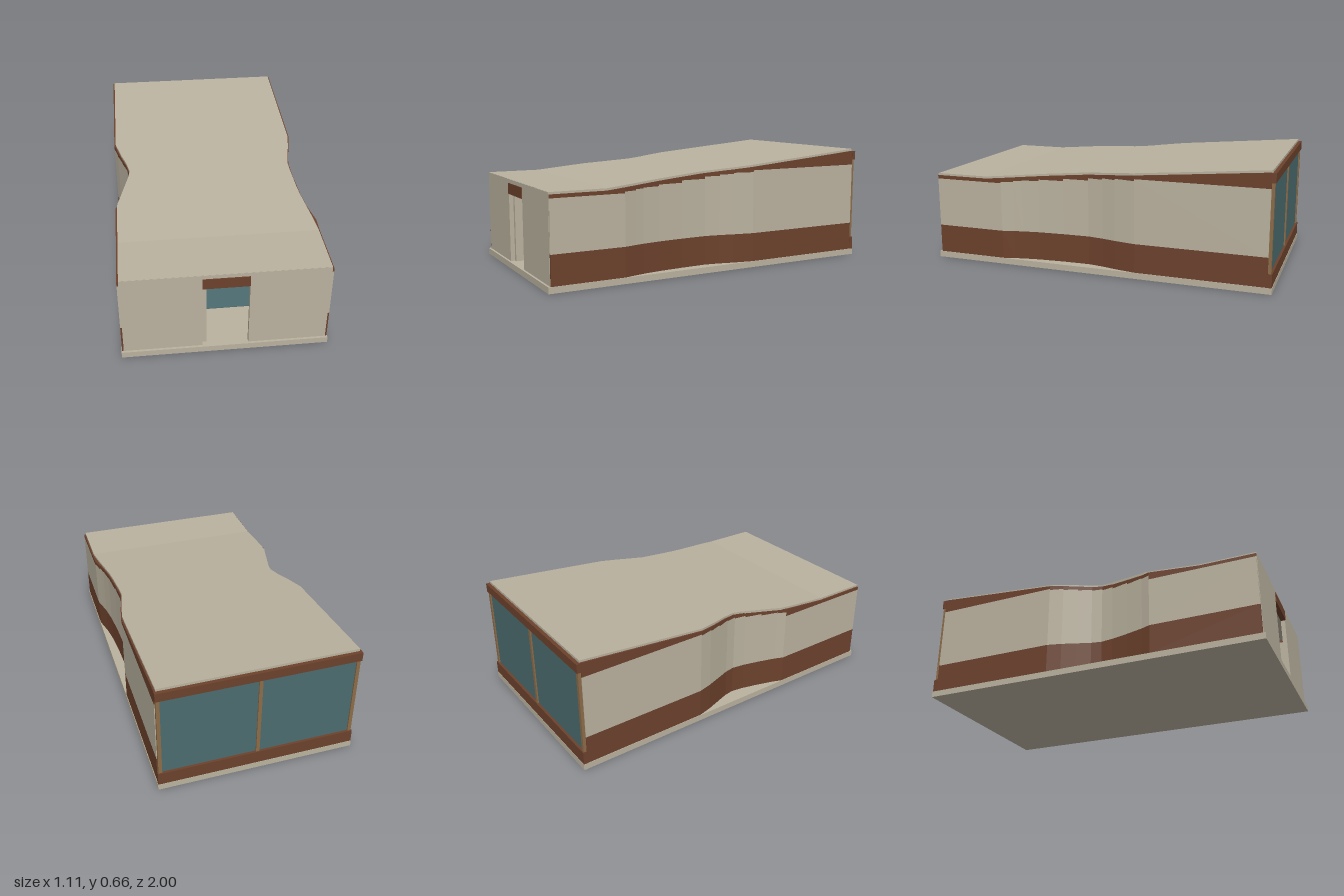
import * as THREE from 'three';

const mat = (name, color, extra = {}) => {
  const m = new THREE.MeshStandardMaterial({ color, ...extra });
  m.name = name;
  return m;
};

// Flat-faced solid lofted through a list of four-cornered sections
function loft(sections) {
  const tris = [];
  const quad = (a, b, c, d) => tris.push([a, b, c], [a, c, d]);
  for (let i = 0; i < sections.length - 1; i++) {
    const p = sections[i], q = sections[i + 1];
    for (let k = 0; k < 4; k++) {
      const n = (k + 1) % 4;
      quad(p[k], p[n], q[n], q[k]);
    }
  }
  const first = sections[0], last = sections[sections.length - 1];
  quad(first[3], first[2], first[1], first[0]);
  quad(last[0], last[1], last[2], last[3]);
  // Turn the faces outwards whichever way the section runs
  const v = tris.map(t => t.map(p => new THREE.Vector3(...p)));
  const volume = v.reduce((s, [a, b, c]) => s + a.dot(b.clone().cross(c)), 0);
  const out = volume < 0 ? tris.map(([a, b, c]) => [a, c, b]) : tris;
  const geo = new THREE.BufferGeometry();
  geo.setAttribute('position', new THREE.Float32BufferAttribute(out.flat(2), 3));
  geo.computeVertexNormals();
  return geo;
}

// Roof height: level at the front, then a straight rise to the back
const roofY = z => 0.515 + 0.145 * Math.max(0, 0.67 - z) / 1.645;

export function createModel() {
  const model = new THREE.Group();
  model.name = 'house';
  const plaster = mat('beige plaster', 0xbab29f);
  const wood = mat('brown cladding', 0x6c412c);
  const glass = mat('teal glass', 0x4c6c6f);
  const frame = mat('tan frame', 0x8c6c48);

  const add = (name, geo, material, parent = model) => {
    const m = new THREE.Mesh(geo, material);
    m.name = name;
    parent.add(m);
    return m;
  };
  // Box given by its limits on each axis
  const box = (name, material, x0, x1, y0, y1, z0, z1, parent) => {
    const m = add(name, new THREE.BoxGeometry(x1 - x0, y1 - y0, z1 - z0), material, parent);
    m.position.set((x0 + x1) / 2, (y0 + y1) / 2, (z0 + z1) / 2);
    return m;
  };

  box('baseSlab', plaster, -0.555, 0.555, 0, 0.035, -1, 1);

  // Side walls: plan points [z, distance from centre], front to back
  const sides = [
    { name: 'left', s: 1, plan: [[0.985, 0.552], [0.57, 0.552], [0.5, 0.535], [0.45, 0.524], [0.35, 0.51], [0.2, 0.5],
      [0.05, 0.496], [-0.04, 0.51], [-0.12, 0.53], [-0.24, 0.552], [-0.975, 0.552]] },
    { name: 'right', s: -1, plan: [[0.985, 0.552], [0.38, 0.552], [0.33, 0.532], [0.23, 0.503], [0.13, 0.478], [0.06, 0.468],
      [0, 0.478], [-0.08, 0.505], [-0.16, 0.532], [-0.24, 0.552], [-0.975, 0.552]] },
  ];
  for (const { name, s, plan } of sides) {
    const wall = new THREE.Group();
    wall.name = name + 'Wall';
    model.add(wall);
    const section = ([z, x], y0, y1) =>
      [[s * x, y0, z], [s * (x - 0.025), y0, z], [s * (x - 0.025), y1, z], [s * x, y1, z]];
    add('lowerCladding', loft(plan.map(p => section(p, 0.035, 0.2))), wood, wall);
    // Upper wall rises in steps; the fascia fills up to the roof
    for (let i = 0; i < plan.length - 1; i++) {
      const a = plan[i], b = plan[i + 1];
      const step = roofY(a[0]) - 0.031;
      add('upperWall', loft([section(a, 0.2, step), section(b, 0.2, step)]), plaster, wall);
      const cuts = a[0] > 0.67 && b[0] < 0.67
        ? [a, [0.67, THREE.MathUtils.mapLinear(0.67, a[0], b[0], a[1], b[1])], b] : [a, b];
      add('roofFascia', loft(cuts.map(p => section(p, step, roofY(p[0]) - 0.012))), wood, wall);
    }
  }

  // Roof: rows of [z, right edge, left edge]
  const roofRows = [[0.985, -0.543, 0.543], [0.67, -0.543, 0.543], [0.55, -0.543, 0.53], [0.42, -0.543, 0.512],
    [0.35, -0.54, 0.503], [0.28, -0.52, 0.497], [0.1, -0.471, 0.489], [0.05, -0.464, 0.489], [-0.03, -0.482, 0.505],
    [-0.12, -0.513, 0.525], [-0.23, -0.543, 0.543], [-0.978, -0.543, 0.543]];
  add('roof', loft(roofRows.map(([z, l, r]) => {
    const y = roofY(z);
    return [[l, y - 0.014, z], [r, y - 0.014, z], [r, y, z], [l, y, z]];
  })), plaster);
  box('roofFrontEdge', plaster, -0.543, 0.543, 0.49, 0.514, 0.965, 0.987);

  // Front wall with its doorway
  box('frontWallRight', plaster, -0.543, -0.123, 0.035, 0.49, 0.962, 0.987);
  box('frontWallLeft', plaster, 0.123, 0.543, 0.035, 0.49, 0.962, 0.987);
  box('doorLintel', wood, -0.123, 0.123, 0.43, 0.492, 0.962, 0.992);

  // Glazed back
  box('backSill', wood, -0.553, 0.553, 0.035, 0.11, -0.998, -0.975);
  box('backHeader', wood, -0.553, 0.553, 0.595, 0.646, -0.998, -0.975);
  box('backWindow', glass, -0.53, 0.53, 0.11, 0.595, -0.984, -0.976);
  for (const x of [-0.538, 0, 0.538]) {
    box('windowPost', frame, x - 0.01, x + 0.01, 0.11, 0.595, -0.992, -0.966);
  }

  // Rooms behind the doorway
  box('hallWall', plaster, -0.124, -0.1, 0.035, 0.43, 0.25, 0.962);
  box('partition', plaster, -0.1, 0.055, 0.035, 0.395, -0.25, -0.22);
  box('partitionCap', wood, -0.1, 0.055, 0.395, 0.41, -0.25, -0.22);
  box('rug', glass, -0.088, 0.3, 0.035, 0.039, 0.25, 0.71);

  // Chair beside the rug
  const chair = new THREE.Group();
  chair.name = 'chair';
  model.add(chair);
  box('seat', wood, 0.09, 0.21, 0.085, 0.1, 0.02, 0.14, chair);
  box('backrest', wood, 0.08, 0.21, 0.1, 0.185, 0.005, 0.02, chair);
  for (const x of [0.09, 0.195]) {
    for (const z of [0.02, 0.125]) box('leg', wood, x, x + 0.015, 0.035, 0.085, z, z + 0.015, chair);
  }
  return model;
}
